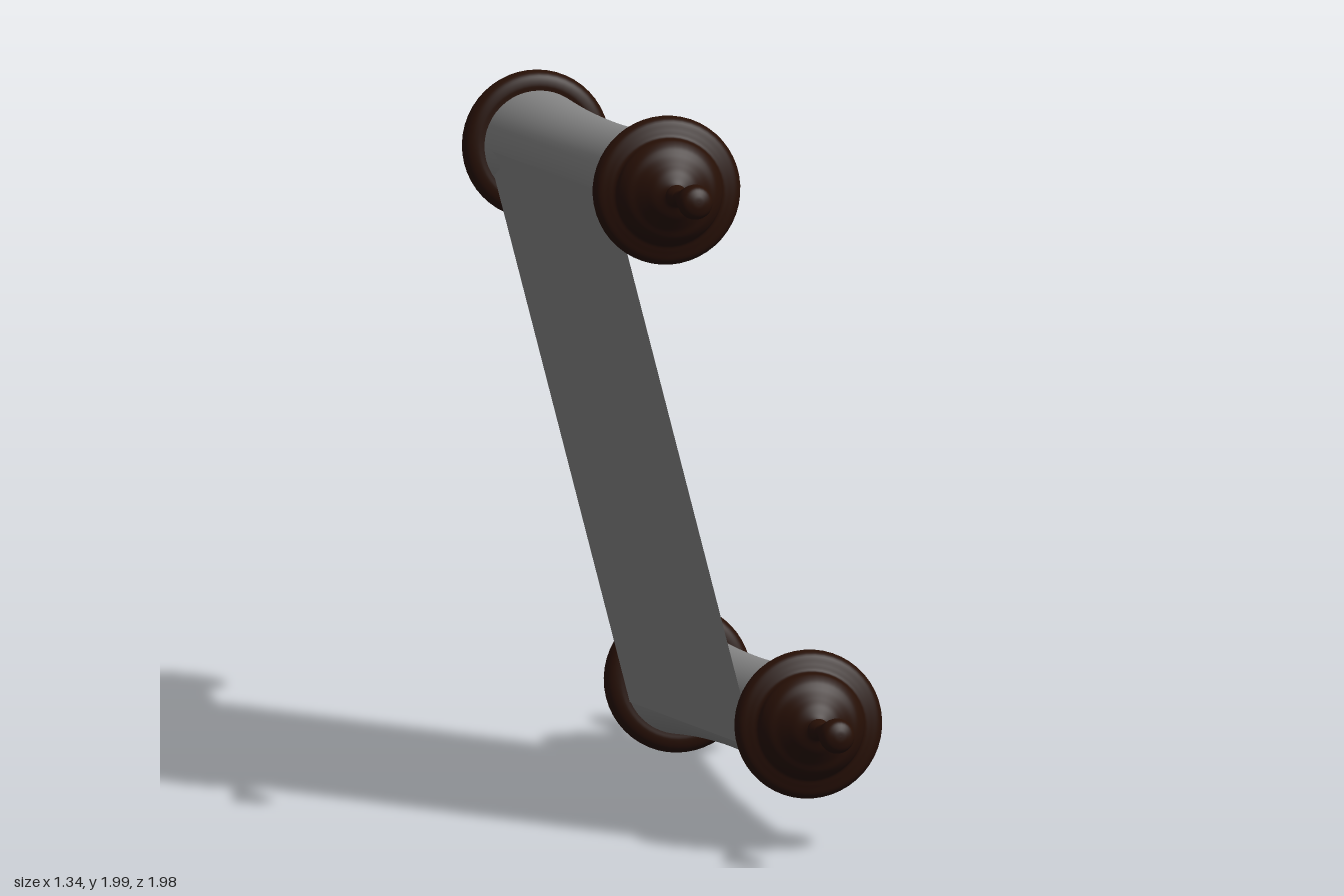
import * as THREE from 'three';

const V = (x, y, z) => new THREE.Vector3(x, y, z);
const paper = new THREE.MeshStandardMaterial({ color: 0x868686, side: THREE.DoubleSide });
const wood = new THREE.MeshStandardMaterial({ color: 0x260f05 });

// Lathe turned from [radius, height] points, smoothed along a spline
function turned(name, points, material, segments = 48) {
  const curve = new THREE.SplineCurve(points.map(([r, h]) => new THREE.Vector2(r, h)));
  const profile = curve.getPoints(points.length * 5);
  profile.forEach(p => { p.x = Math.max(p.x, 0); });
  const mesh = new THREE.Mesh(new THREE.LatheGeometry(profile, segments), material);
  mesh.name = name;
  return mesh;
}

// Places a part at a point with its own +y along a direction
function aim(part, position, direction) {
  part.position.copy(position);
  part.quaternion.setFromUnitVectors(V(0, 1, 0), direction.clone().normalize());
  return part;
}

const capProfile = [
  [0, -0.03], [0.13, -0.033], [0.165, -0.035], [0.19, -0.025], [0.2, 0], [0.19, 0.025], [0.165, 0.036],
  [0.146, 0.044], [0.139, 0.062], [0.122, 0.082], [0.1, 0.095], [0.08, 0.11],
  [0.06, 0.125], [0.035, 0.137], [0.02, 0.147], [0, 0.15],
];
const handleProfile = [
  [0, -0.03], [0.022, -0.022], [0.03, 0], [0.022, 0.022], [0.018, 0.035], [0.023, 0.07],
  [0.034, 0.12], [0.044, 0.165], [0.047, 0.19], [0.039, 0.212], [0.018, 0.223], [0, 0.225],
];

// One waisted paper roll with a turned cap and handle at both ends
function makeRoller(name) {
  const roller = new THREE.Group();
  roller.name = name;
  const half = V(0.288, 0.075, 0.635);
  const L = half.length();
  const rollProfile = [];
  for (let i = -5; i <= 5; i++) {
    const t = i / 5;
    rollProfile.push([0.125 + 0.024 * t * t, t * L]);
  }
  roller.add(aim(turned('paperRoll', rollProfile, paper), V(0, 0, 0), half));

  for (const s of [1, -1]) {
    const end = half.clone().multiplyScalar(s);
    const capDirection = V(0.37, 0.1, 1).multiplyScalar(s).normalize();
    const neck = end.clone().addScaledVector(capDirection, 0.155);
    const handleDirection = V(0.47, 0.12, 1).multiplyScalar(s);
    const side = s > 0 ? 'front' : 'back';
    roller.add(aim(turned(side + 'Cap', capProfile, wood), end, capDirection));
    roller.add(aim(turned(side + 'Handle', handleProfile, wood, 24), neck, handleDirection));
  }
  return roller;
}

export function createModel() {
  const model = new THREE.Group();
  model.name = 'scroll';

  const upper = makeRoller('upperRoller');
  upper.position.set(-0.193, 1.725, 0);
  const lower = makeRoller('lowerRoller');
  lower.position.set(0.191, 0.285, 0);
  model.add(upper, lower);

  // Flat sheet stretched between the rollers
  const corner = V(-0.595, 1.65, -0.54);
  const across = V(0.55, 0.135, 1.21);
  const down = V(0.385, -1.49, 0);
  const geometry = new THREE.PlaneGeometry(1, 1);
  const pos = geometry.attributes.position;
  for (let i = 0; i < pos.count; i++) {
    const p = corner.clone()
      .addScaledVector(across, pos.getX(i) + 0.5)
      .addScaledVector(down, 0.5 - pos.getY(i));
    pos.setXYZ(i, p.x, p.y, p.z);
  }
  geometry.computeVertexNormals();
  const sheet = new THREE.Mesh(geometry, paper);
  sheet.name = 'sheet';
  model.add(sheet);

  return model;
}
